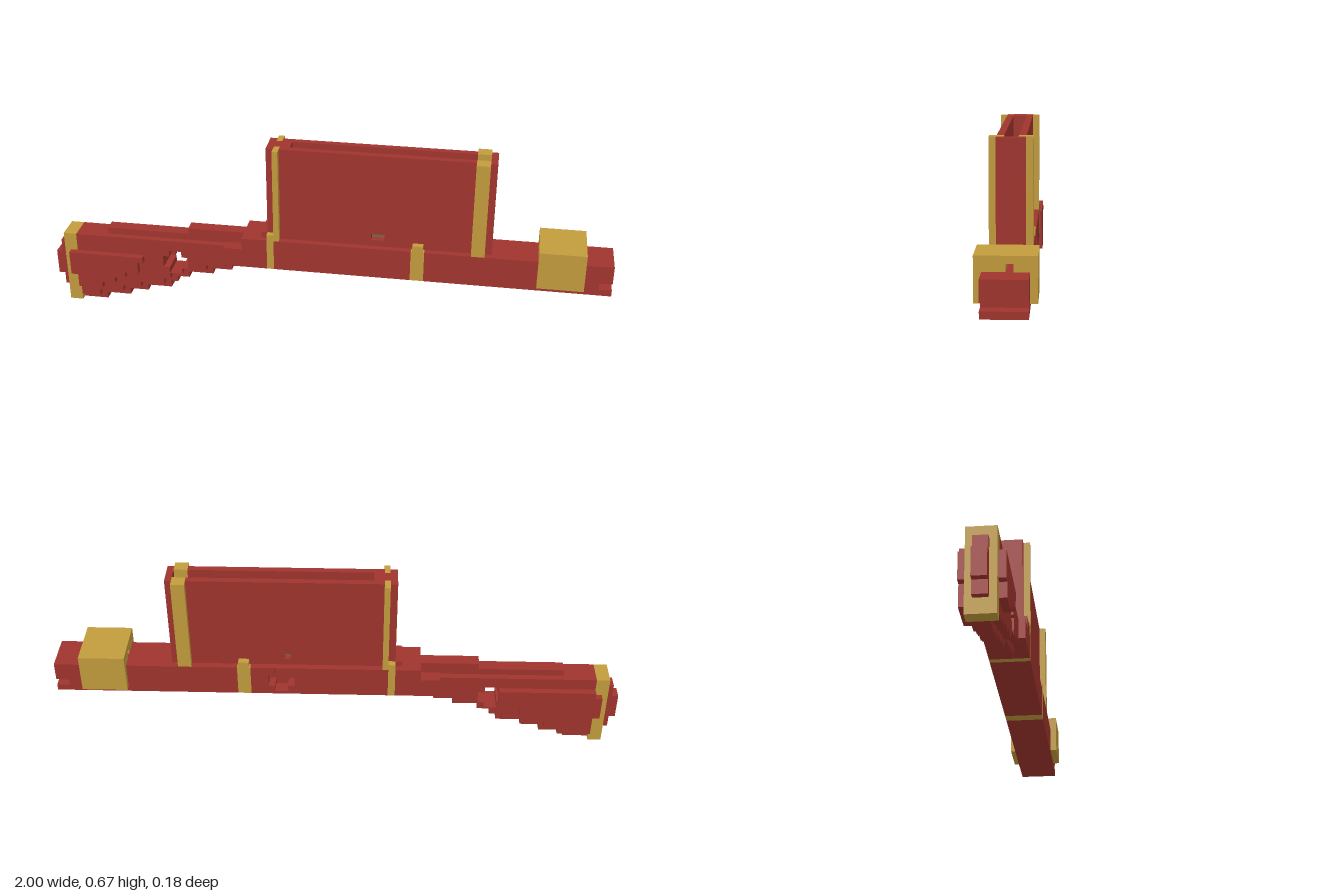
import * as THREE from 'three';

const red = new THREE.MeshStandardMaterial({ name: 'red body', color: 0xa0342e });
const gold = new THREE.MeshStandardMaterial({ name: 'gold fittings', color: 0xc29b3c });
const grey = new THREE.MeshStandardMaterial({ name: 'grey slot floor', color: 0x53606a });
const brown = new THREE.MeshStandardMaterial({ name: 'brown slot strip', color: 0x6b5a3a });

export function createModel() {
  const root = new THREE.Group();

  // Box given by its minimum and maximum on each axis
  function box(name, mat, x0, x1, y0, y1, z0, z1) {
    const m = new THREE.Mesh(new THREE.BoxGeometry(x1 - x0, y1 - y0, z1 - z0), mat);
    m.position.set((x0 + x1) / 2, (y0 + y1) / 2, (z0 + z1) / 2);
    m.name = name;
    root.add(m);
  }
  // The same box on both sides of the centre line
  function pair(name, mat, x0, x1, y0, y1, z0, z1) {
    box(name + 'Left', mat, x0, x1, y0, y1, z0, z1);
    box(name + 'Right', mat, x0, x1, y0, y1, -z1, -z0);
  }
  const toPath = (pts, C) => new C(pts.map(p => new THREE.Vector2(p[0], p[1])));
  // Side profile extruded across z, with optional holes
  function slab(name, pts, holes, z0, z1) {
    const s = toPath(pts, THREE.Shape);
    holes.forEach(h => s.holes.push(toPath(h, THREE.Path)));
    const g = new THREE.ExtrudeGeometry(s, { depth: z1 - z0, bevelEnabled: false });
    const m = new THREE.Mesh(g, red);
    m.position.z = z0;
    m.name = name;
    root.add(m);
  }
  const rect = (x0, x1, y0, y1) => [[x0, y0], [x1, y0], [x1, y1], [x0, y1]];
  const plus = (x, y, s) => [[-1, -2], [1, -2], [1, -1], [2, -1], [2, 1], [1, 1], [1, 2], [-1, 2], [-1, 1], [-2, 1], [-2, -1], [-1, -1]]
    .map(p => [x + p[0] * s, y + p[1] * s]);
  // Stepped lower edge, from [right end, height] pairs, closed by a flat top
  function stairs(x0, steps, top) {
    const pts = [];
    let x = x0;
    for (const [end, y] of steps) {
      pts.push([x, y], [end, y]);
      x = end;
    }
    pts.push([x, top], [x0, top]);
    return pts;
  }

  // Stock: narrow core, main thickness and cheek plates
  const steps = [[-0.82, 0], [-0.73, 0.025], [-0.66, 0.05], [-0.57, 0.072], [-0.545, 0.097],
    [-0.5, 0.12], [-0.41, 0.143], [-0.34, 0.165], [-0.27, 0.188]];
  const gripHole = plus(-0.543, 0.19, 0.0228);
  slab('stockCore', stairs(-0.91, steps, 0.276), [gripHole], -0.023, 0.023);
  const raised = steps.map(([x, y]) => [x - 0.02, y + 0.023]);
  slab('stockMain', stairs(-0.91, raised, 0.276), [gripHole], -0.046, 0.046);
  const cheek = [[-0.82, 0.07], [-0.77, 0.095], [-0.73, 0.12], [-0.68, 0.143], [-0.66, 0.188]];
  slab('cheekLeft', stairs(-0.91, cheek, 0.21), [], 0.046, 0.069);
  const cheekBack = cheek.map(([x, y], i) => [x + (i === 4 ? 0.09 : 0.03), y - 0.023]);
  slab('cheekRight', stairs(-0.91, cheekBack, 0.233), [], -0.069, -0.046);
  pair('cheekEnd', red, -0.935, -0.91, 0.12, 0.21, 0.046, 0.069);
  box('stockRidge', red, -0.795, -0.495, 0.276, 0.3, -0.023, 0.023);
  box('wristRidge', red, -0.495, -0.29, 0.276, 0.322, -0.023, 0.023);

  // Butt
  box('buttBand', gold, -0.957, -0.91, 0, 0.276, -0.046, 0.046);
  box('buttPlate', red, -0.978, -0.957, 0.05, 0.235, -0.023, 0.023);
  box('buttPad', red, -1, -0.978, 0.095, 0.187, -0.023, 0.023);

  // Long body split by its gold bands
  const W = 0.069, B = 0.21, T = 0.323;
  box('bodyRear', red, -0.357, -0.29, B, 0.28, -W, W);
  box('bodyShoulder', red, -0.29, -0.2, B, T, -W, W);
  box('bodyBump', red, -0.222, -0.2, T, 0.345, -0.046, 0.046);
  box('rearBand', gold, -0.2, -0.175, B, T, -W, W);
  pair('rearBandTip', gold, -0.2, -0.175, T, 0.345, 0.046, W);
  box('bodyMiddle', red, -0.175, 0.308, B, T, -0.023, W);
  slab('bodyMiddleBack', rect(-0.175, 0.308, B, T), [plus(0.2, 0.267, 0.0228)], -W, -0.023);
  box('frontBand', gold, 0.308, 0.355, B, T, -W, W);
  pair('frontBandTip', gold, 0.313, 0.35, T, 0.345, 0.046, W);
  box('bodyFront', red, 0.355, 0.955, B, T, -W, W);
  box('tipLower', red, 0.955, 1, B, 0.233, -W, W);
  box('tipUpper', red, 0.955, 1, 0.257, T, -W, W);

  // Gold front block with a small sight tunnel
  pair('blockCheek', gold, 0.745, 0.905, 0.232, T, W, 0.092);
  box('blockLeft', gold, 0.745, 0.905, T, 0.346, 0, 0.092);
  box('blockRight', gold, 0.745, 0.905, T, 0.346, -0.092, -0.023);
  box('blockCap', gold, 0.745, 0.905, 0.346, 0.37, -0.092, 0.092);

  // Tall hollow case on top
  const H = 0.668;
  box('caseRearEnd', red, -0.2, -0.175, T, H, -0.046, 0.046);
  box('caseRearFill', red, -0.155, -0.12, T, H, -0.023, 0.023);
  box('caseRearInner', red, -0.175, -0.155, T, H, -0.023, 0.023);
  pair('caseRearPost', gold, -0.175, -0.155, T, H, 0.023, W);
  slab('caseWallLeft', rect(-0.155, 0.515, T, H), [rect(0.167, 0.213, 0.346, 0.369)], 0.023, 0.046);
  slab('caseWallRight', rect(-0.155, 0.515, T, H), [rect(0.167, 0.19, 0.346, 0.369)], -0.046, -0.023);
  pair('caseFrontPost', gold, 0.515, 0.562, T, H, 0.023, W);
  box('caseFrontEnd', red, 0.562, 0.585, T, H, -0.046, 0.046);
  box('slotFloor', grey, -0.12, 0.562, T, 0.329, -0.023, 0.023);
  box('slotStrip', brown, -0.02, 0.46, 0.329, 0.335, -0.023, 0.023);

  return root;
}
